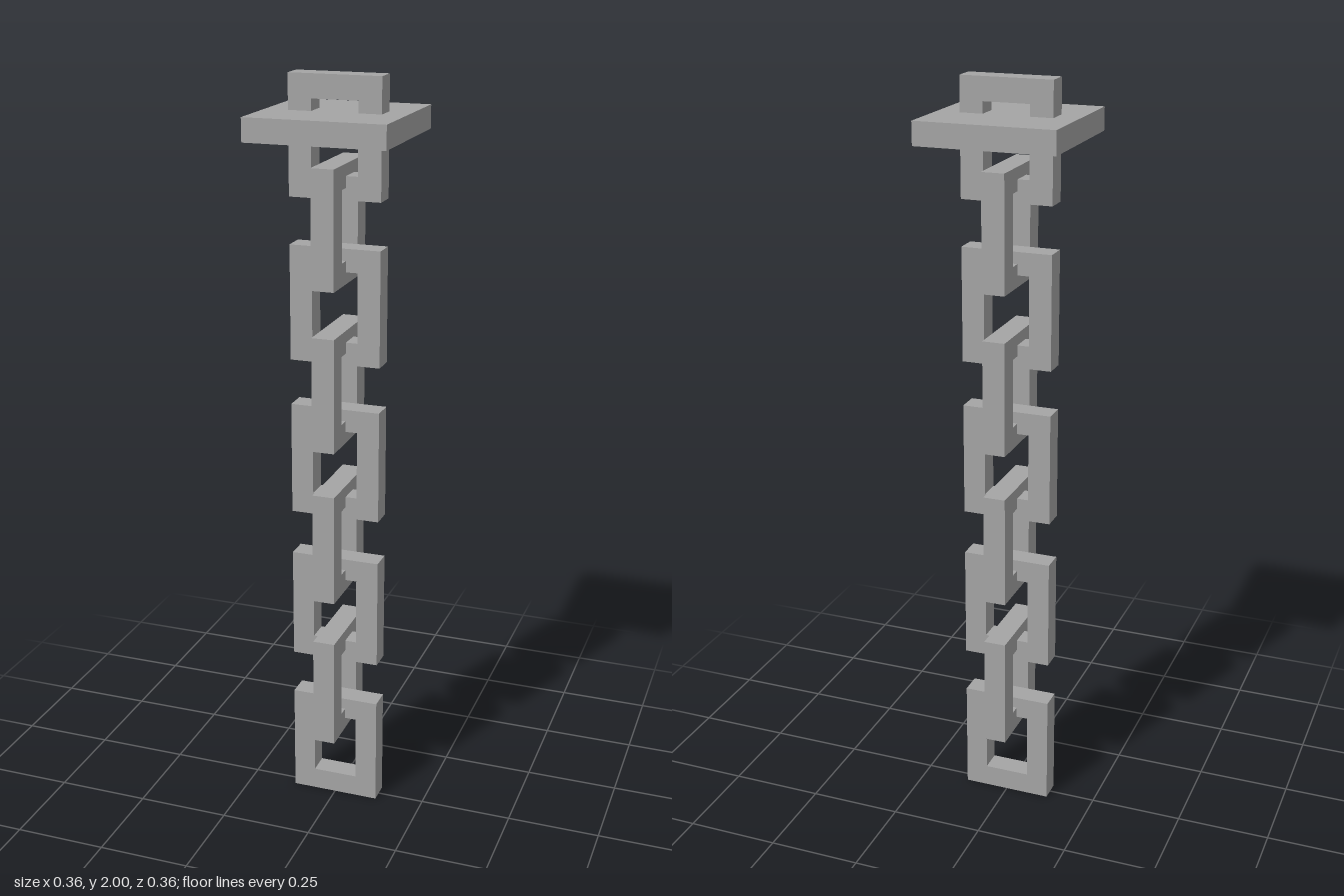
import * as THREE from 'three';

const LINK_COUNT = 9;
const LINK_HEIGHT = 0.303;
const LINK_WIDTH = 0.242;
const BAR = 0.06;
const PITCH = (2 - LINK_HEIGHT) / (LINK_COUNT - 1);

// Rectangular ring standing on y = 0, centred in x and z
function linkGeometry() {
  const w = LINK_WIDTH / 2;
  const h = LINK_HEIGHT;
  const shape = new THREE.Shape([
    new THREE.Vector2(-w, 0), new THREE.Vector2(w, 0),
    new THREE.Vector2(w, h), new THREE.Vector2(-w, h),
  ]);
  shape.holes.push(new THREE.Path([
    new THREE.Vector2(-w + BAR, BAR), new THREE.Vector2(-w + BAR, h - BAR),
    new THREE.Vector2(w - BAR, h - BAR), new THREE.Vector2(w - BAR, BAR),
  ]));
  return new THREE.ExtrudeGeometry(shape, { depth: BAR, bevelEnabled: false })
    .translate(0, 0, -BAR / 2);
}

export function createModel() {
  const group = new THREE.Group();
  group.name = 'hangingChain';
  const iron = new THREE.MeshStandardMaterial({ color: 0xa5a5a5 });
  iron.name = 'iron grey';

  // Chain links, every second one turned a quarter
  const geometry = linkGeometry();
  for (let i = 0; i < LINK_COUNT; i++) {
    const link = new THREE.Mesh(geometry, iron);
    link.name = `chainLink${i + 1}`;
    link.position.y = i * PITCH;
    link.rotation.y = (i % 2) * Math.PI / 2;
    group.add(link);
  }

  // Square mounting plate around the top link
  const plate = new THREE.Mesh(new THREE.BoxGeometry(0.364, 0.06, 0.364), iron);
  plate.name = 'ceilingPlate';
  plate.position.y = 1.88;
  group.add(plate);

  return group;
}
